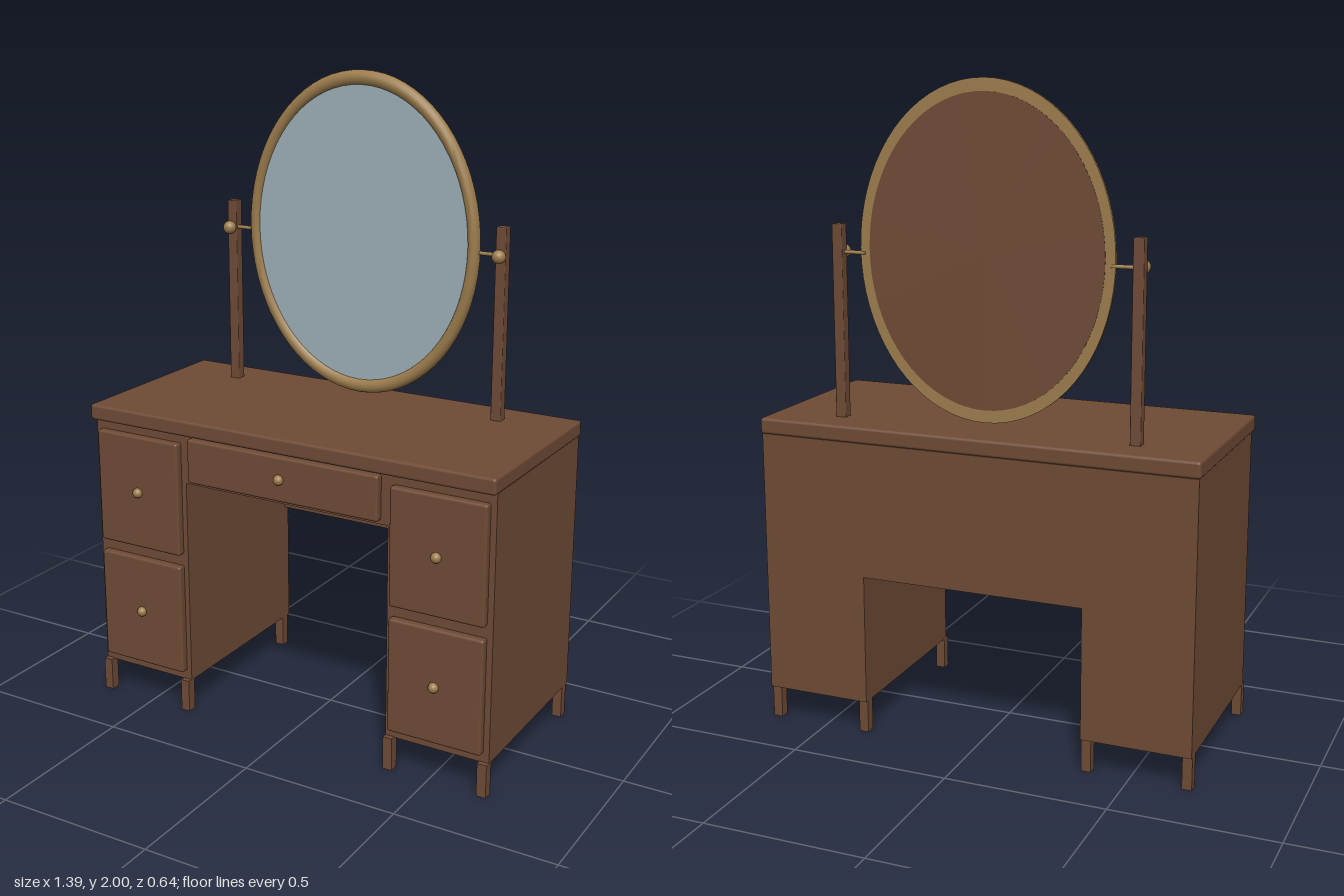
import * as THREE from 'three';
import { RoundedBoxGeometry } from 'three/addons/geometries/RoundedBoxGeometry.js';
import { toCreasedNormals } from 'three/addons/utils/BufferGeometryUtils.js';

export function createModel() {
  const model = new THREE.Group();
  model.name = 'dressingTable';

  const material = (name, color) => {
    const m = new THREE.MeshStandardMaterial({ color });
    m.name = name;
    return m;
  };
  const wood = material('wood', 0x6e4a35);
  const brass = material('brass', 0x9c7c4c);
  const glass = material('mirrorGlass', 0x9dafb7);

  const add = (name, geometry, mat, x = 0, y = 0, z = 0) => {
    const mesh = new THREE.Mesh(geometry, mat);
    mesh.name = name;
    mesh.position.set(x, y, z);
    model.add(mesh);
    return mesh;
  };

  // Box given by its min and max corners, optionally with rounded edges
  const box = (name, [x0, y0, z0], [x1, y1, z1], radius = 0) => {
    const size = [x1 - x0, y1 - y0, z1 - z0];
    const geometry = radius
      ? new RoundedBoxGeometry(...size, 2, radius)
      : new THREE.BoxGeometry(...size);
    return add(name, geometry, wood, (x0 + x1) / 2, (y0 + y1) / 2, (z0 + z1) / 2);
  };

  const knob = (name, x, y, z, r) =>
    add(name, new THREE.SphereGeometry(r, 20, 14), brass, x, y, z);

  const front = 0.277, back = -0.312;

  // Table top
  box('tableTop', [-0.695, 0.93, -0.317], [0.695, 0.98, 0.303], 0.009);

  // Centre drawer housing, its drawer and the back panel
  box('centreHousing', [-0.352, 0.77, -0.29], [0.352, 0.93, front]);
  box('backPanel', [-0.352, 0.51, back], [0.352, 0.93, -0.29]);
  box('centreDrawer', [-0.33, 0.783, front - 0.005], [0.33, 0.923, 0.302], 0.008);
  knob('centreDrawerKnob', 0, 0.853, 0.304, 0.016);

  for (const side of [-1, 1]) {
    const label = side > 0 ? 'left' : 'right';
    const span = (name, a, b, y0, y1, z0, z1, r) =>
      box(label + name, [Math.min(a * side, b * side), y0, z0],
        [Math.max(a * side, b * side), y1, z1], r);

    // Pedestal with two drawers
    span('Pedestal', 0.352, 0.69, 0.103, 0.93, back, front);
    for (const [name, y0, y1] of [['Lower', 0.133, 0.495], ['Upper', 0.533, 0.9]]) {
      span(name + 'Drawer', 0.368, 0.672, y0, y1, front - 0.005, 0.302, 0.008);
      knob(label + name + 'DrawerKnob', side * 0.52, (y0 + y1) / 2, 0.304, 0.016);
    }

    // Four short square legs
    for (const x of [0.352, 0.66]) {
      for (const z of [-0.302, 0.263]) span('Leg', x, x + 0.03, 0, 0.105, z, z + 0.031);
    }

    // Mirror post, pivot rod and pivot knob
    span('MirrorPost', 0.455, 0.488, 0.975, 1.57, -0.211, -0.178, 0.003);
    const rod = add(label + 'PivotRod', new THREE.CylinderGeometry(0.006, 0.006, 0.085, 12),
      brass, side * 0.4275, 1.485, -0.19);
    rod.rotation.z = Math.PI / 2;
    knob(label + 'PivotKnob', side * 0.472, 1.485, -0.165, 0.021);
  }

  // Oval frame: flat back, rounded front, turned and squeezed sideways
  const profile = [[0.5, 0], [0.5, 0.01], [0.496, 0.019], [0.488, 0.025], [0.478, 0.027],
    [0.467, 0.025], [0.459, 0.019], [0.455, 0.01], [0.455, 0], [0.5, 0]]
    .map(([r, y]) => new THREE.Vector2(r, y));
  const ring = new THREE.LatheGeometry(profile, 72);
  ring.rotateX(Math.PI / 2).scale(0.8, 1, 1);
  add('mirrorFrame', toCreasedNormals(ring, 0.7), brass, 0, 1.5, -0.194);

  // Glass in front, wooden backing board behind
  const oval = (name, r, depth, mat, z) => {
    const disc = new THREE.CylinderGeometry(r, r, depth, 72);
    disc.rotateX(Math.PI / 2).scale(0.8, 1, 1);
    add(name, disc, mat, 0, 1.5, z);
  };
  oval('mirrorGlass', 0.457, 0.006, glass, -0.182);
  oval('mirrorBacking', 0.462, 0.01, wood, -0.19);

  return model;
}
